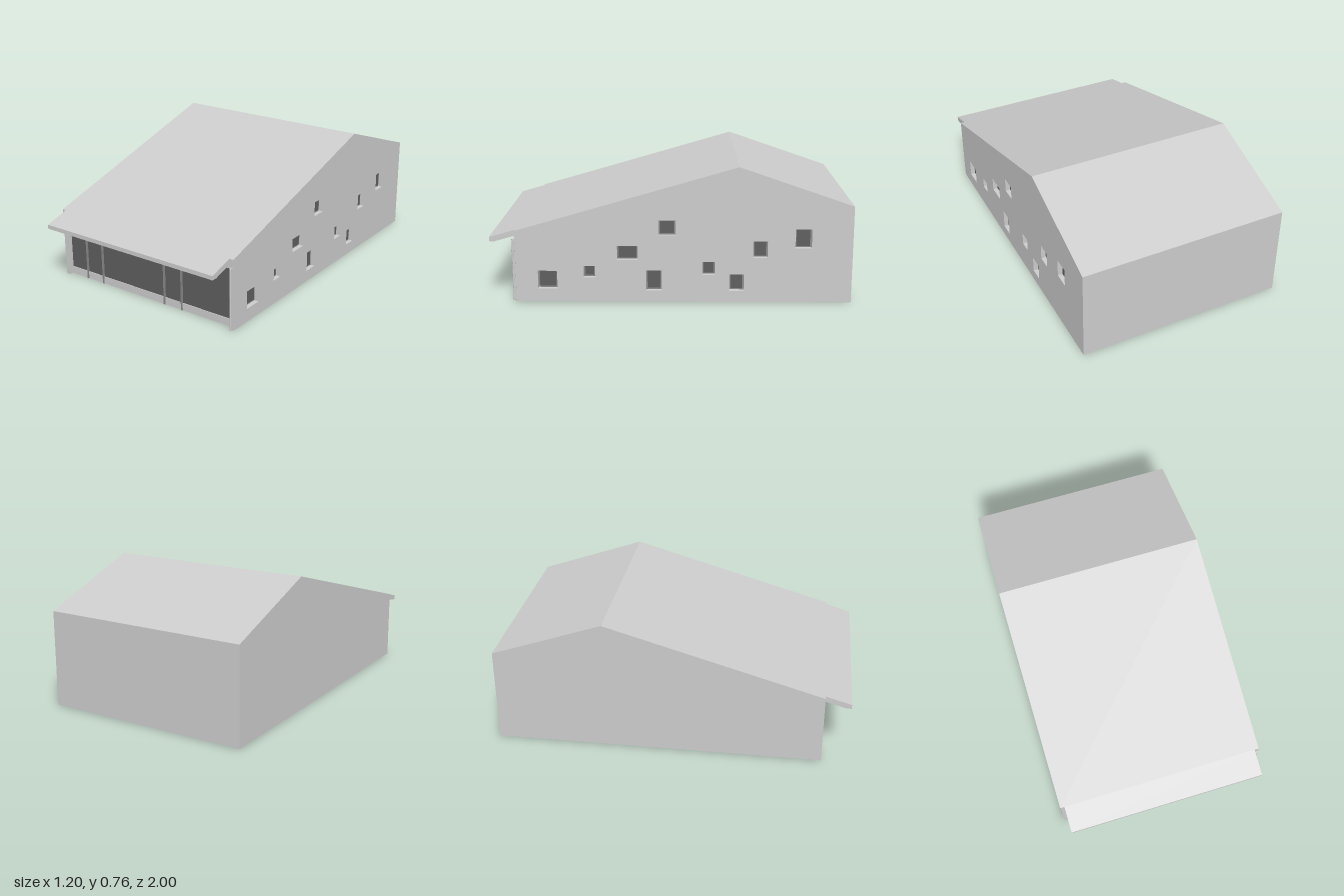
import * as THREE from 'three';

const shell = new THREE.MeshStandardMaterial({ color: 0xcccccc, flatShading: true, side: THREE.DoubleSide });
const grey = new THREE.MeshStandardMaterial({ color: 0xcccccc, flatShading: true });
const frameGrey = new THREE.MeshStandardMaterial({ color: 0x888888 });
const dark = new THREE.MeshStandardMaterial({ color: 0x5e5e5e });

function named(name, geometry, material) {
  const mesh = new THREE.Mesh(geometry, material);
  mesh.name = name;
  return mesh;
}

// box given by its min and max on each axis
function box(name, [x0, x1], [y0, y1], [z0, z1], material = grey) {
  const mesh = named(name, new THREE.BoxGeometry(x1 - x0, y1 - y0, z1 - z0), material);
  mesh.position.set((x0 + x1) / 2, (y0 + y1) / 2, (z0 + z1) / 2);
  return mesh;
}

const toShape = (points) => new THREE.Shape(points.map(([z, y]) => new THREE.Vector2(z, y)));

// thin side wall at x, drawn in (z, y), with rectangular openings
function sideWall(name, points, openings, x) {
  const shape = toShape(points);
  for (const [z0, z1, y0, y1] of openings) {
    shape.holes.push(toShape([[z0, y0], [z0, y1], [z1, y1], [z1, y0]]));
  }
  const mesh = named(name, new THREE.ShapeGeometry(shape).rotateY(-Math.PI / 2), shell);
  mesh.position.x = x;
  return mesh;
}

// thin full-width panel between two (z, y) points
function panel(name, [z0, y0], [z1, y1]) {
  const geometry = new THREE.PlaneGeometry(1.2, Math.hypot(z1 - z0, y1 - y0));
  geometry.rotateX(Math.atan2(z1 - z0, y1 - y0));
  const mesh = named(name, geometry, shell);
  mesh.position.set(0, (y0 + y1) / 2, (z0 + z1) / 2);
  return mesh;
}

// straight recess with a slim frame around a dark pane
function makeWindow([z0, z1, y0, y1]) {
  const group = new THREE.Group();
  group.name = 'window';
  const depth = 0.03, border = 0.008, back = 0.6 - depth;
  const reveal = new THREE.CylinderGeometry(Math.SQRT1_2, Math.SQRT1_2, depth, 4, 1, true);
  reveal.rotateY(Math.PI / 4);
  reveal.rotateZ(-Math.PI / 2);
  reveal.scale(1, y1 - y0, z1 - z0);
  const mesh = named('windowReveal', reveal, shell);
  mesh.position.set(0.6 - depth / 2, (y0 + y1) / 2, (z0 + z1) / 2);
  group.add(mesh);
  group.add(box('windowFrame', [back, back + 0.003], [y0, y1], [z0, z1], frameGrey));
  group.add(box('windowPane', [back - 0.001, back + 0.005], [y0 + border, y1 - border], [z0 + border, z1 - border], dark));
  return group;
}

export function createModel() {
  const house = new THREE.Group();
  house.name = 'house';

  // thin outer shell, open below; openings are [z0, z1, y0, y1]
  const wall = [[-1, 0], [0.855, 0], [0.855, 0.404], [-0.372, 0.762], [-1, 0.546]];
  const windows = [
    [0.626, 0.733, 0.075, 0.177], [0.415, 0.48, 0.14, 0.205], [0.18, 0.294, 0.24, 0.32],
    [-0.027, 0.064, 0.38, 0.465], [0.048, 0.134, 0.065, 0.18], [-0.246, -0.176, 0.155, 0.232],
    [-0.535, -0.455, 0.255, 0.348], [-0.406, -0.326, 0.065, 0.16], [-0.775, -0.685, 0.31, 0.417],
  ];
  house.add(sideWall('leftWall', wall, windows, 0.6));
  house.add(sideWall('rightWall', wall, [], -0.6));
  windows.forEach((w) => house.add(makeWindow(w)));
  house.add(panel('frontRoof', wall[2], wall[3]));
  house.add(panel('backRoof', wall[3], wall[4]));
  house.add(panel('backWall', wall[4], wall[0]));

  // inner roof slab running out into the front overhang
  const slab = toShape([
    [1, 0.362], [0.855, 0.404], [0.854, 0.402], [-0.372, 0.759], [-0.998, 0.543],
    [-0.998, 0.511], [-0.372, 0.727], [0.97, 0.338], [1, 0.338],
  ]);
  const slabGeometry = new THREE.ExtrudeGeometry(slab, { depth: 1.15, bevelEnabled: false });
  slabGeometry.rotateY(-Math.PI / 2);
  slabGeometry.translate(0.575, 0, 0);
  house.add(named('roofSlab', slabGeometry, grey));

  // wall returns beside the front opening
  for (const s of [-1, 1]) {
    const x = [s * 0.575, s * 0.599].sort((a, b) => a - b);
    house.add(box('wallReturn', x, [0.001, 0.402], [0.824, 0.855]));
  }

  // recessed glazed front
  house.add(box('frontGlass', [-0.575, 0.575], [0.043, 0.335], [0.82, 0.824], dark));
  house.add(box('frontSill', [-0.575, 0.575], [0, 0.043], [0.819, 0.828]));
  house.add(box('frontHeader', [-0.575, 0.575], [0.333, 0.376], [0.819, 0.828]));

  // door frames
  for (const x of [-0.3925, 0.1775]) {
    const frame = new THREE.Group();
    frame.name = 'doorFrame';
    for (const s of [-1, 1]) {
      const c = x + s * 0.06;
      frame.add(box('doorPost', [c - 0.005, c + 0.005], [0, 0.34], [0.816, 0.832], frameGrey));
    }
    frame.add(box('doorRail', [x - 0.055, x + 0.055], [0.249, 0.257], [0.817, 0.83], frameGrey));
    house.add(frame);
  }

  // slim downpipe at the left front corner
  house.add(box('pipeBracket', [0.58, 0.597], [0.003, 0.355], [0.856, 0.862]));
  const pipe = named('downpipe', new THREE.CylinderGeometry(0.006, 0.006, 0.352, 10), grey);
  pipe.position.set(0.589, 0.179, 0.868);
  house.add(pipe);

  return house;
}
